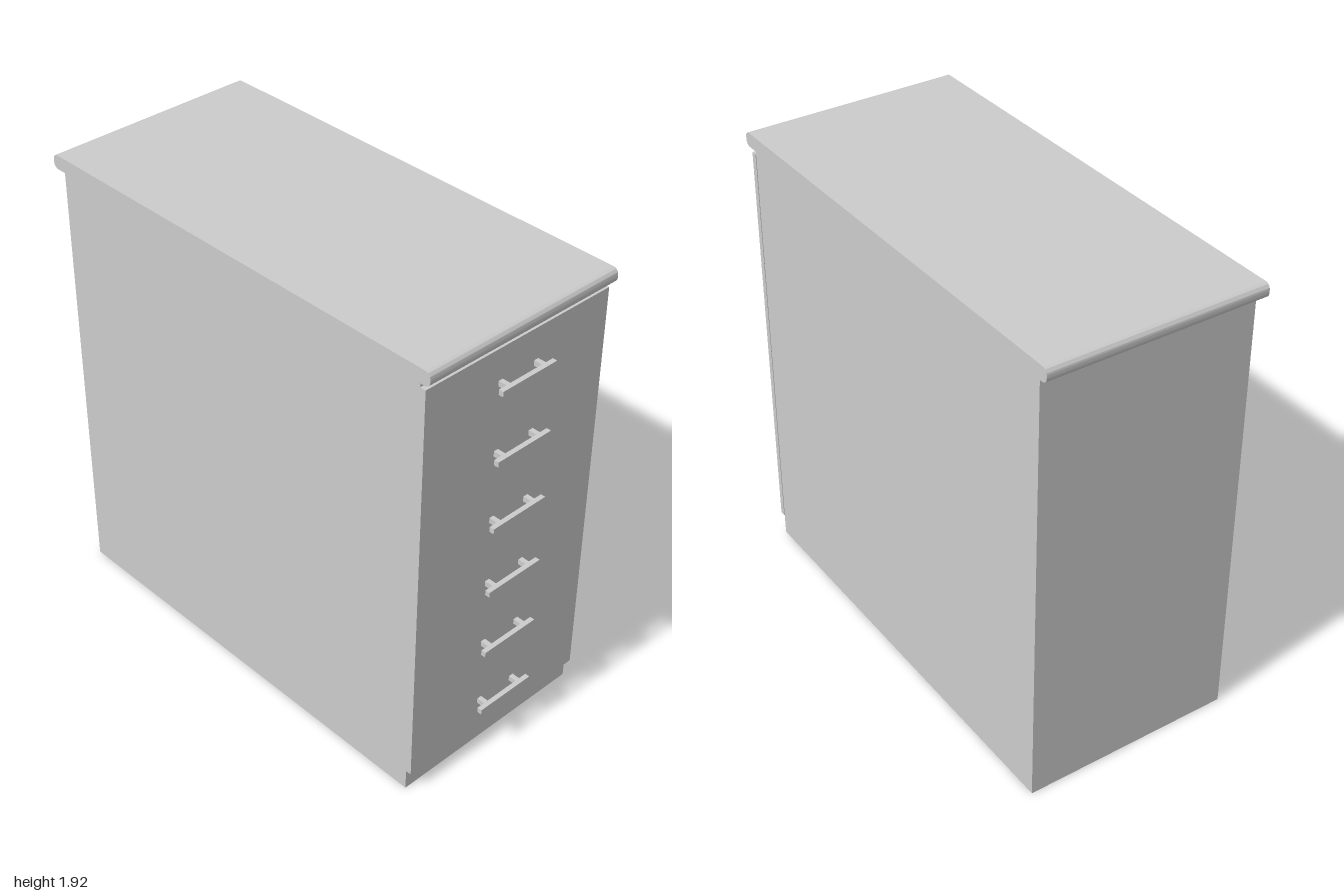
import * as THREE from 'three';
import { toCreasedNormals } from 'three/addons/utils/BufferGeometryUtils.js';

const material = new THREE.MeshStandardMaterial({ color: 0xcccccc });
const sheet = new THREE.MeshStandardMaterial({ color: 0xcccccc, side: THREE.DoubleSide });

// Box given by its minimum and maximum corners
function box(name, [x0, y0, z0], [x1, y1, z1]) {
  const mesh = new THREE.Mesh(new THREE.BoxGeometry(x1 - x0, y1 - y0, z1 - z0), material);
  mesh.position.set((x0 + x1) / 2, (y0 + y1) / 2, (z0 + z1) / 2);
  mesh.name = name;
  return mesh;
}

// Thin carcass board
function board(name, width, height, position, turn) {
  const mesh = new THREE.Mesh(new THREE.PlaneGeometry(width, height), sheet);
  mesh.position.set(...position);
  mesh.rotation.y = turn;
  mesh.name = name;
  return mesh;
}

// Worktop: rounded side profile pushed across the width
function createWorktop() {
  const half = 0.456, z0 = -1, z1 = 0.972, y0 = 1.866, y1 = 1.925, r = 0.024;
  const shape = new THREE.Shape();
  // shape x runs along -z once turned
  shape.absarc(-z0 - r, y0 + r, r, -Math.PI / 2, 0);
  shape.absarc(-z0 - r, y1 - r, r, 0, Math.PI / 2);
  shape.absarc(-z1 + r, y1 - r, r, Math.PI / 2, Math.PI);
  shape.absarc(-z1 + r, y0 + r, r, Math.PI, Math.PI * 1.5);
  const geometry = new THREE.ExtrudeGeometry(shape, {
    depth: half * 2, bevelEnabled: false, curveSegments: 8,
  });
  geometry.translate(0, 0, -half);
  geometry.rotateY(Math.PI / 2);
  const mesh = new THREE.Mesh(toCreasedNormals(geometry, 0.6), material);
  mesh.name = 'worktop';
  return mesh;
}

// Bar handle on two short posts
function createHandle(y) {
  const handle = new THREE.Group();
  handle.name = 'handle';
  const h = 0.011;
  handle.add(box('handleBar', [-0.133, y - h, 0.98], [0.133, y + h, 1]));
  for (const x of [-0.088, 0.088]) {
    handle.add(box('handlePost', [x - 0.01, y - h, 0.944], [x + 0.01, y + h, 0.982]));
  }
  return handle;
}

export function createModel() {
  const model = new THREE.Group();
  model.name = 'drawerCabinet';

  // Carcass, open underneath
  const half = 0.446, front = 0.92, back = -0.95, top = 1.866;
  const depth = front - back, midZ = (front + back) / 2;
  for (const side of [-1, 1]) {
    model.add(board('sidePanel', depth, top, [side * half, top / 2, midZ], side * Math.PI / 2));
  }
  model.add(board('backPanel', half * 2, top, [0, top / 2, back], Math.PI));
  model.add(board('plinthAndFrame', half * 2, top, [0, top / 2, front], 0));

  model.add(createWorktop());
  model.add(box('drawerFronts', [-0.448, 0.092, front + 0.001], [0.448, 1.843, 0.946]));

  // Drawers, each with its handle
  const pitch = 0.2925;
  for (let i = 0; i < 6; i++) {
    const y = 0.157 + i * pitch;
    model.add(box('drawerBox', [-half + 0.001, y, -0.24], [half - 0.001, Math.min(y + 0.282, 1.86), front - 0.002]));
    model.add(createHandle(0.239 + i * pitch));
  }
  return model;
}
